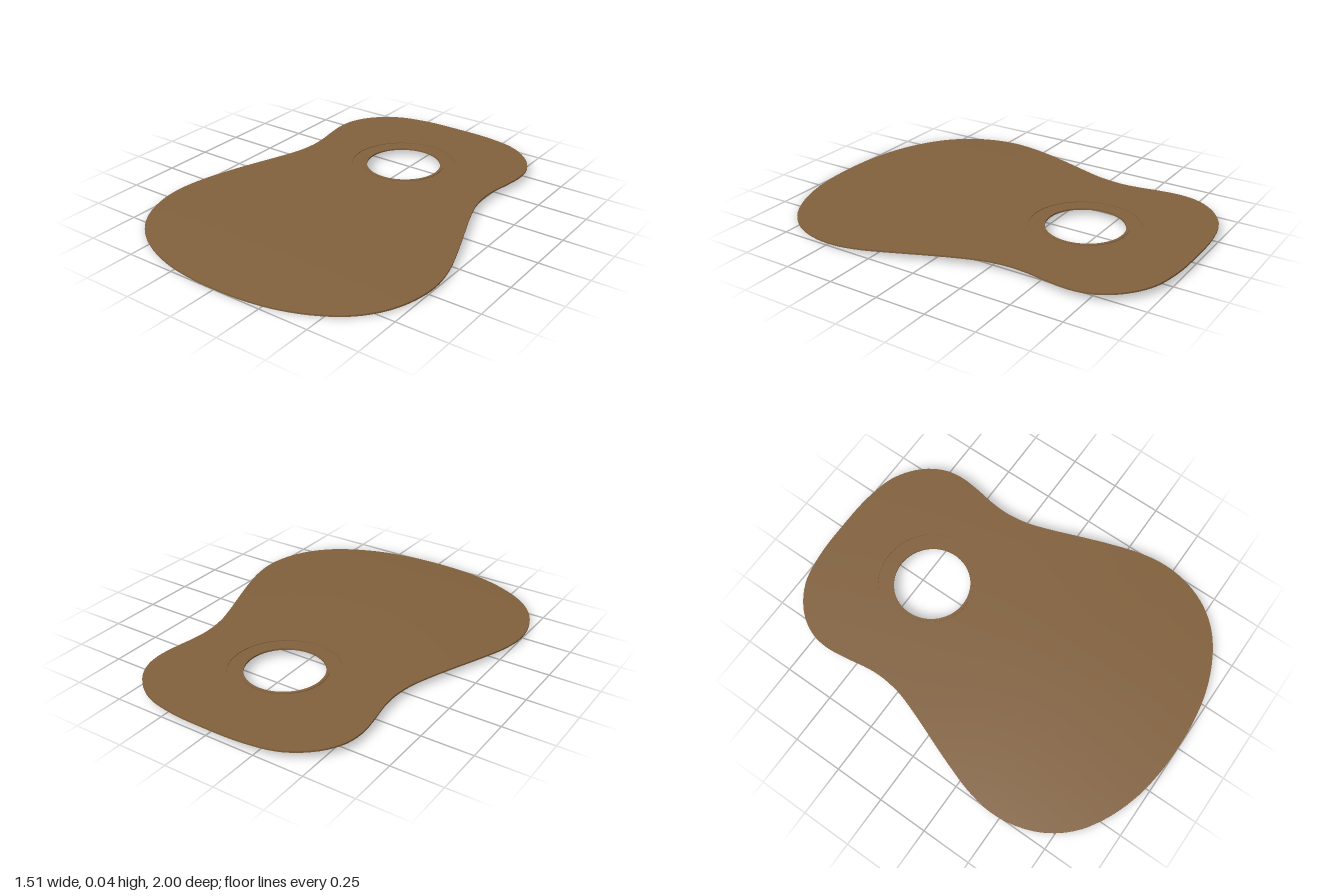
import * as THREE from 'three';

const SEG = 192;          // points around every ring
const HOLE_Z = -0.44;     // centre of the sound hole
const LIP = 0.205, CHANNEL = 0.268, HOLE = 0.19;
const THICK = 0.008, GROOVE = 0.003;

// Right half of the body outline (x, z), from the neck end to the tail end
const HALF = [
  [0, -1], [0.2, -0.992], [0.36, -0.955], [0.48, -0.87], [0.545, -0.77], [0.564, -0.67],
  [0.553, -0.55], [0.536, -0.45], [0.53, -0.36], [0.545, -0.24], [0.583, -0.12],
  [0.636, 0.02], [0.692, 0.17], [0.739, 0.32], [0.757, 0.45], [0.742, 0.58],
  [0.69, 0.71], [0.6, 0.82], [0.47, 0.905], [0.31, 0.965], [0.15, 0.993], [0, 1],
];

function bodyOutline() {
  const mirrored = HALF.slice(1, -1).reverse().map(([x, z]) => [-x, z]);
  const pts = [...HALF, ...mirrored].map(([x, z]) => new THREE.Vector3(x, 0, z));
  return new THREE.CatmullRomCurve3(pts, true).getSpacedPoints(SEG).slice(0, SEG);
}

// Flat upper bout, gently arched lower bout
function topHeight(x, z) {
  const ramp = THREE.MathUtils.smoothstep(z, -0.2, 0.45);
  const zz = Math.max(z, 0);
  return 0.041 - 0.033 * zz * zz - 0.02 * x * x * ramp;
}

export function createModel() {
  const group = new THREE.Group();
  group.name = 'guitarSoundboard';
  const wood = new THREE.MeshStandardMaterial({ color: 0x82613d });
  wood.name = 'brown wood';
  const outline = bodyOutline();

  // Ring of points: a circle round the hole up to CHANNEL, then a blend to the outline at 1
  function ring(s, depth) {
    const f = Math.max(0, (s - CHANNEL) / (1 - CHANNEL));
    const r = Math.min(s, CHANNEL);
    return outline.map((p) => {
      const dx = p.x, dz = p.z - HOLE_Z, len = Math.hypot(dx, dz);
      const x = THREE.MathUtils.lerp((dx / len) * r, p.x, f);
      const z = THREE.MathUtils.lerp(HOLE_Z + (dz / len) * r, p.z, f);
      return [x, topHeight(x, z) - depth, z];
    });
  }

  // Skin a list of [s, depth] rings; each part keeps its own edges sharp
  function addPart(name, specs) {
    const positions = specs.flatMap(([s, d]) => ring(s, d)).flat();
    const index = [];
    for (let j = 0; j < specs.length - 1; j++) {
      for (let i = 0; i < SEG; i++) {
        const n = (i + 1) % SEG;
        const a = j * SEG + i, c = j * SEG + n, b = a + SEG, d = c + SEG;
        index.push(a, c, b, c, d, b);
      }
    }
    const geo = new THREE.BufferGeometry();
    geo.setAttribute('position', new THREE.Float32BufferAttribute(positions, 3));
    geo.setIndex(index);
    geo.computeVertexNormals();
    const mesh = new THREE.Mesh(geo, wood);
    mesh.name = name;
    group.add(mesh);
  }

  // Rings spread from the channel to the rim
  const STEPS = 24;
  const spread = (depth) => Array.from({ length: STEPS + 1 },
    (_, k) => [CHANNEL + (1 - CHANNEL) * (k / STEPS), depth]);

  addPart('soundHoleLip', [[HOLE, 0], [LIP, 0]]);
  addPart('rosetteInnerWall', [[LIP, 0], [LIP, GROOVE]]);
  addPart('rosetteChannel', [[LIP, GROOVE], [CHANNEL, GROOVE]]);
  addPart('rosetteOuterWall', [[CHANNEL, GROOVE], [CHANNEL, 0]]);
  addPart('topFace', spread(0));
  addPart('rim', [[1, 0], [1, THICK]]);
  addPart('underside', [...spread(THICK).reverse(), [HOLE, THICK]]);
  addPart('soundHoleWall', [[HOLE, THICK], [HOLE, 0]]);

  return group;
}
